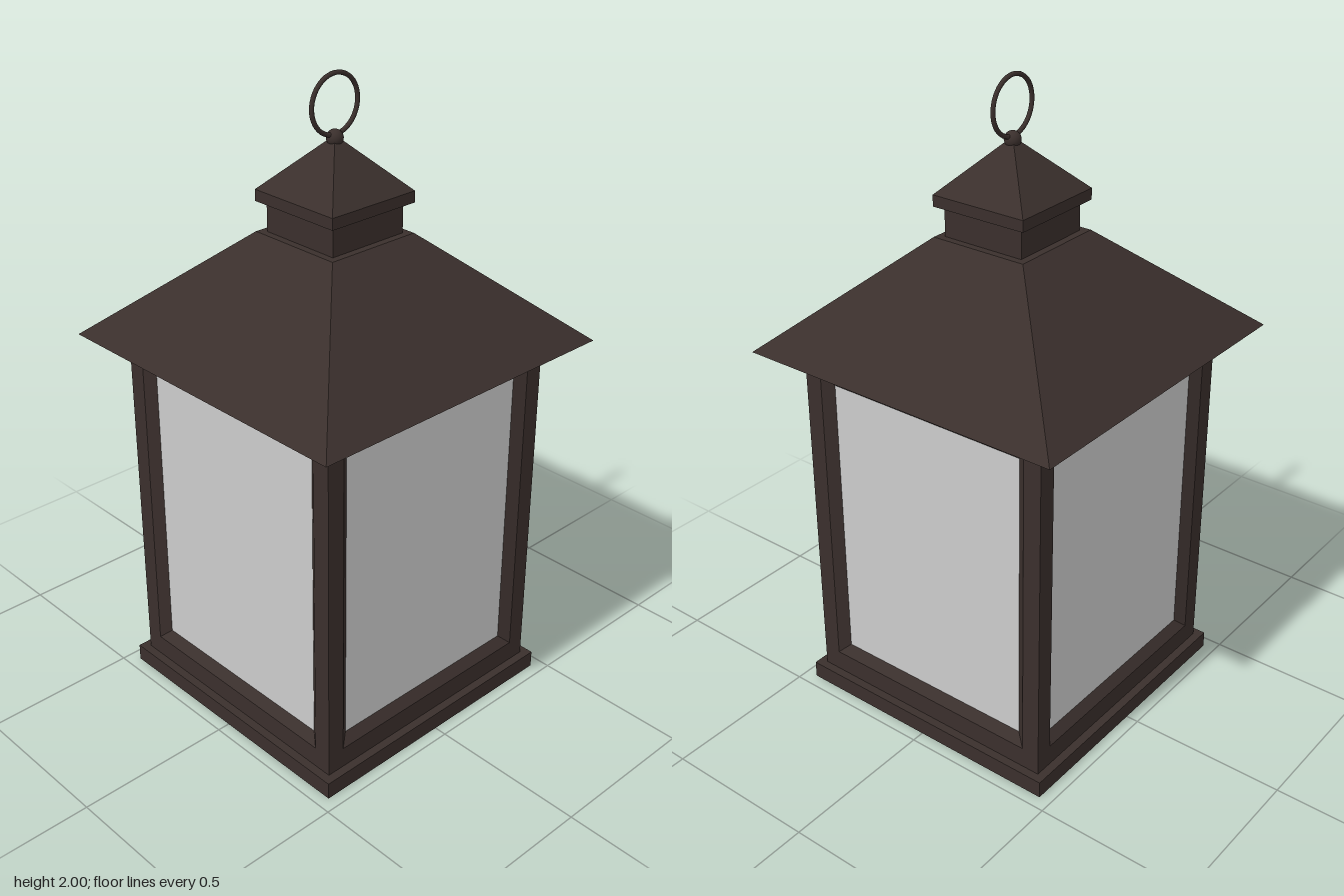
import * as THREE from 'three';

export function createModel() {
  const model = new THREE.Group();
  model.name = 'lantern';
  const metal = new THREE.MeshStandardMaterial({ color: 0x3a2f2c, flatShading: true });
  const smoothMetal = new THREE.MeshStandardMaterial({ color: 0x3a2f2c });
  const glass = new THREE.MeshStandardMaterial({ color: 0xcccccc });

  const add = (name, geometry, material, parent = model) => {
    const mesh = new THREE.Mesh(geometry, material);
    mesh.name = name;
    parent.add(mesh);
    return mesh;
  };

  // Square block or tapered square block between two heights
  const tapered = (name, bottomHalf, topHalf, y0, y1) => {
    const g = new THREE.CylinderGeometry(topHalf * Math.SQRT2, bottomHalf * Math.SQRT2, y1 - y0, 4);
    g.rotateY(Math.PI / 4);
    g.translate(0, (y0 + y1) / 2, 0);
    return add(name, g, metal);
  };

  // Surface joining nested rectangles, each [halfWidth, bottom, top, z]
  const rectangleLoft = (rings) => {
    const corners = rings.map(([w, b, t, z]) => [[-w, b, z], [w, b, z], [w, t, z], [-w, t, z]]);
    const positions = [];
    for (let r = 0; r < rings.length - 1; r++) {
      for (let i = 0; i < 4; i++) {
        const j = (i + 1) % 4;
        const a = corners[r][i], b = corners[r][j];
        const c = corners[r + 1][j], d = corners[r + 1][i];
        positions.push(...a, ...b, ...c, ...a, ...c, ...d);
      }
    }
    const g = new THREE.BufferGeometry();
    g.setAttribute('position', new THREE.Float32BufferAttribute(positions, 3));
    g.computeVertexNormals();
    return g;
  };

  // Base plinth
  tapered('base', 0.46, 0.46, 0, 0.055);

  // Four window walls: flat frame, bevelled reveal and pane
  const frameGeometry = rectangleLoft([
    [0.433, 0.055, 1.2, 0.433],
    [0.375, 0.122, 1.128, 0.433],
    [0.342, 0.153, 1.097, 0.408],
  ]);
  const paneGeometry = new THREE.PlaneGeometry(0.684, 0.944);
  paneGeometry.translate(0, 0.625, 0.408);
  for (let i = 0; i < 4; i++) {
    const wall = new THREE.Group();
    wall.name = 'windowWall';
    wall.rotation.y = i * Math.PI / 2;
    add('windowFrame', frameGeometry, metal, wall);
    add('glassPane', paneGeometry, glass, wall);
    model.add(wall);
  }

  // Main roof, chimney and cap
  tapered('roof', 0.54, 0.16, 1.197, 1.53);
  tapered('chimney', 0.137, 0.137, 1.53, 1.625);
  tapered('capRim', 0.16, 0.16, 1.622, 1.657);
  tapered('capRoof', 0.16, 0.003, 1.657, 1.815);

  // Finial and carrying ring
  add('finial', new THREE.SphereGeometry(0.025, 20, 14), smoothMetal).position.y = 1.81;
  add('ring', new THREE.TorusGeometry(0.087, 0.007, 10, 48), smoothMetal).position.y = 1.906;

  return model;
}
